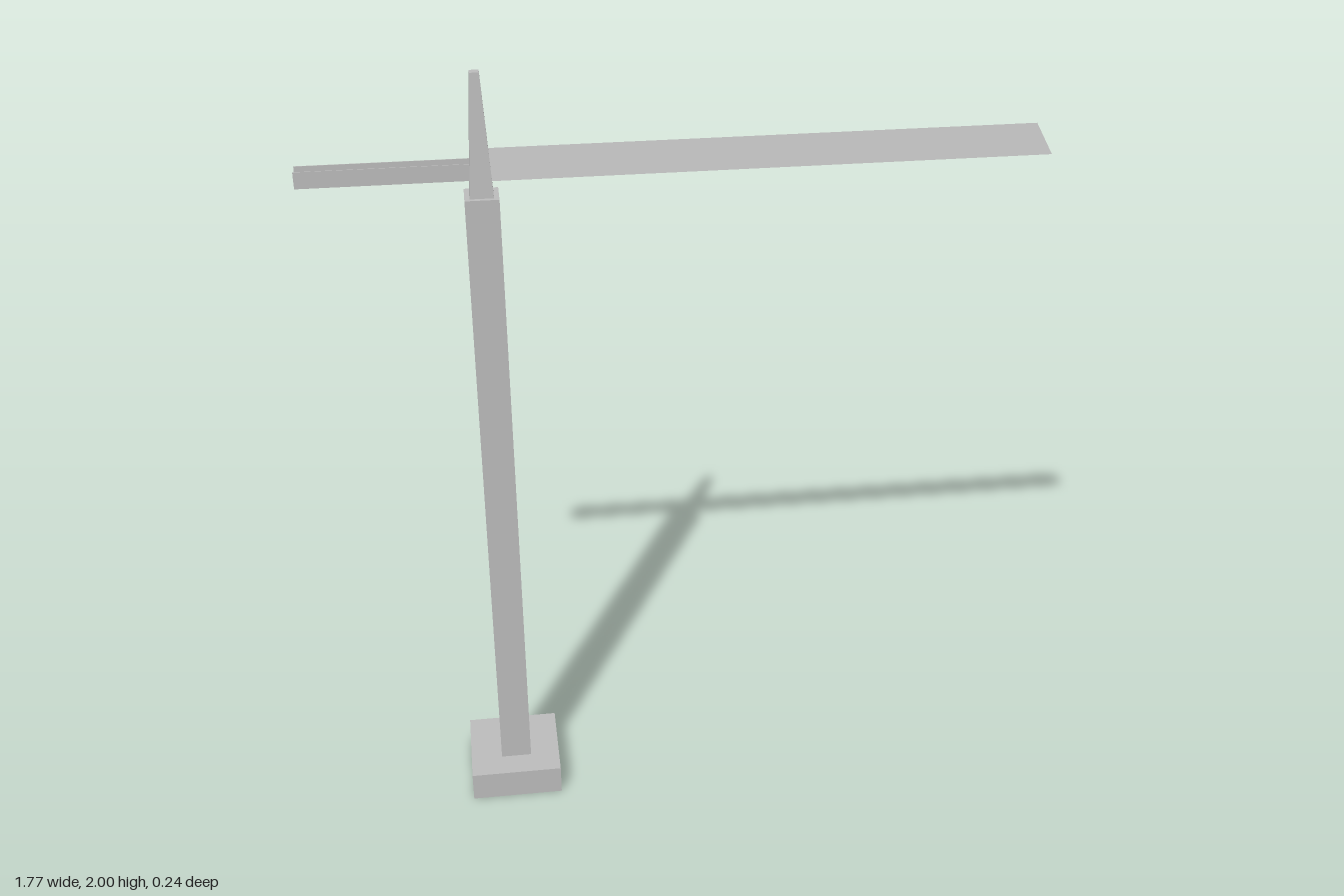
import * as THREE from 'three';

export function createModel() {
  const group = new THREE.Group();
  const grey = new THREE.MeshStandardMaterial({ color: 0xbcbcbc, side: THREE.DoubleSide });
  grey.name = 'concrete grey';
  const mastX = -0.467, mastZ = 0.01;

  const add = (name, geometry, x, y, z) => {
    const mesh = new THREE.Mesh(geometry, grey);
    mesh.name = name;
    mesh.position.set(x, y, z);
    group.add(mesh);
    return mesh;
  };

  // Box without its underside (face order: +x -x +y -y +z -z, six indices each)
  const openBox = (w, h, d) => {
    const g = new THREE.BoxGeometry(w, h, d);
    g.setIndex([...g.index.array].filter((_, i) => i < 18 || i >= 24));
    g.clearGroups();
    return g;
  };

  // Hollow foundation block and square mast
  add('foundation', openBox(0.24, 0.08, 0.24), -0.47, 0.04, 0);
  add('mast', openBox(0.08, 1.63, 0.08), mastX, 0.895, mastZ);

  // Tapered square tower head
  const head = new THREE.CylinderGeometry(0.011 * Math.SQRT2, 0.028 * Math.SQRT2, 0.29, 4).toNonIndexed();
  head.rotateY(Math.PI / 4);
  head.computeVertexNormals();
  add('towerHead', head, mastX, 1.855, mastZ + 0.001);

  // Triangular jib, with the ridge cut back at the tip
  const triangle = new THREE.Shape();
  triangle.moveTo(-0.026, 0);
  triangle.lineTo(0.026, 0);
  triangle.lineTo(0, 0.07);
  const jib = new THREE.ExtrudeGeometry(triangle, { depth: 1.335, bevelEnabled: false });
  const p = jib.attributes.position;
  for (let i = 0; i < p.count; i++) {
    if (p.getZ(i) > 1) p.setZ(i, 1.335 - p.getY(i) * 0.5);
  }
  jib.rotateY(Math.PI / 2);
  jib.computeVertexNormals();
  add('jib', jib, -0.455, 1.75, 0.009);

  // Counter jib: an open channel of a floor and two side walls
  const counter = new THREE.Group();
  counter.name = 'counterJib';
  counter.position.set(-0.67, 1.75, 0.007);
  group.add(counter);
  const panel = (name, h, d, y, z) => {
    const mesh = new THREE.Mesh(new THREE.BoxGeometry(0.43, h, d), grey);
    mesh.name = name;
    mesh.position.set(0, y, z);
    counter.add(mesh);
  };
  panel('counterJibFloor', 0.004, 0.036, 0.002, 0);
  for (const side of [-1, 1]) panel('counterJibWall', 0.04, 0.002, 0.02, side * 0.019);

  return group;
}
